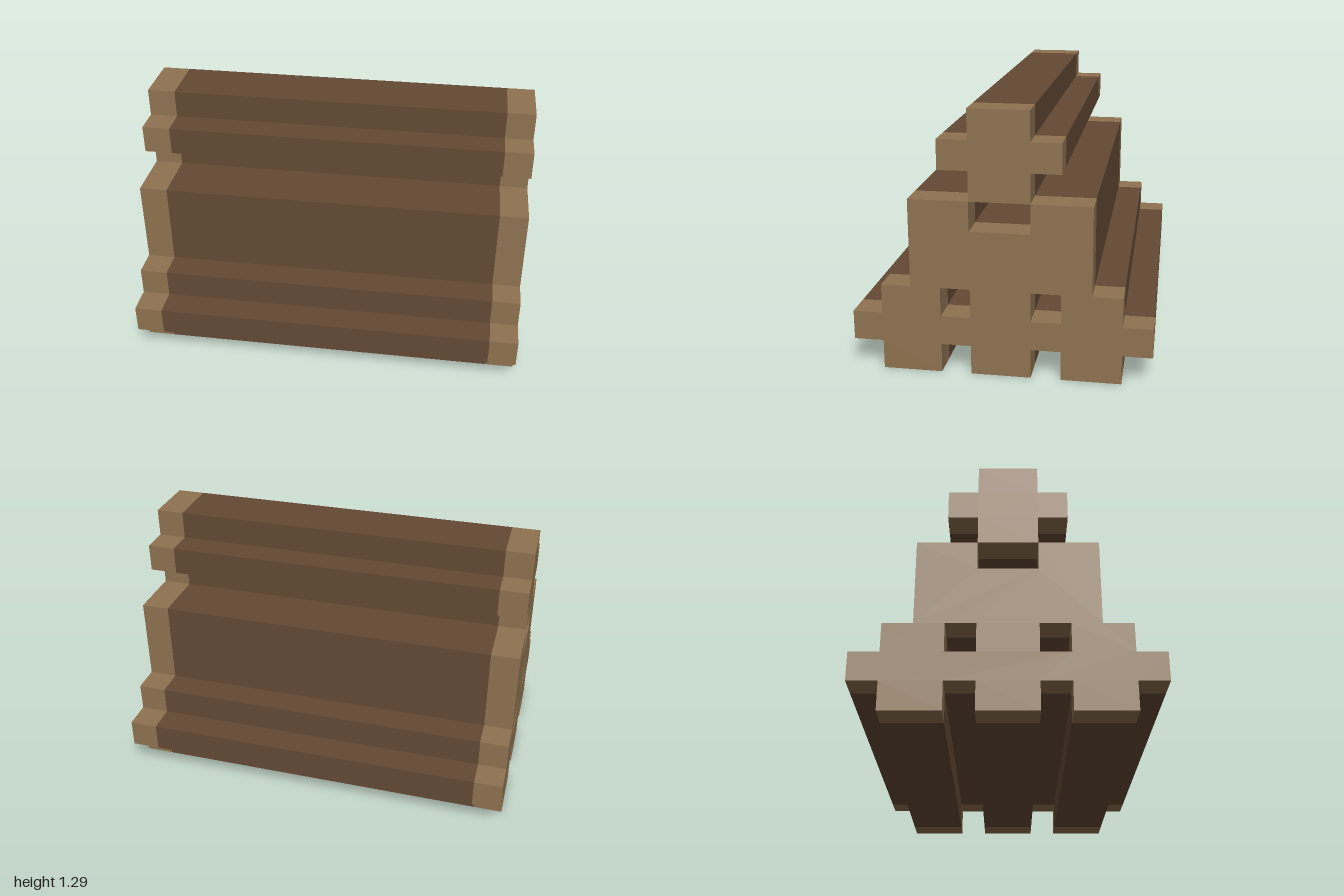
import * as THREE from 'three';

const U = 1 / 7;          // one block unit
const BAND = U;           // length of the pale cut end
const bark = new THREE.MeshStandardMaterial({ color: 0x644a35 });
bark.name = 'darkBark';
const wood = new THREE.MeshStandardMaterial({ color: 0x8f7350 });
wood.name = 'paleWood';

// Closed symmetric cross-section from its right half
const mirrored = half => [
  ...half,
  ...half.map(([z, y]) => [-z, y]).reverse(),
].map(([z, y]) => new THREE.Vector2(z * U, y * U));

const square = (z, y) => new THREE.Path(
  [[z, y], [z, y + 1], [z + 1, y + 1], [z + 1, y]].map(p => new THREE.Vector2(p[0] * U, p[1] * U)));

// Extrusion along +x from x0; keeps only the side walls, or walls plus outer cap
function prism(shape, x0, length, capped) {
  const full = new THREE.ExtrudeGeometry(shape, { depth: length, bevelEnabled: false });
  const capEnd = full.groups[0].count;
  const first = capped ? capEnd / 2 : capEnd;
  const geo = new THREE.BufferGeometry();
  for (const name of ['position', 'normal']) {
    geo.setAttribute(name, new THREE.BufferAttribute(full.attributes[name].array.slice(first * 3), 3));
  }
  return geo.rotateY(Math.PI / 2).translate(x0, 0, 0);
}

// Bark-covered middle with a pale cut end on each side
function logs(name, shape) {
  const group = new THREE.Group();
  group.name = name;
  const inner = 1 - BAND;
  const middle = new THREE.Mesh(prism(shape, -inner, 2 * inner, false), bark);
  middle.name = 'bark';
  group.add(middle);
  const endGeo = prism(shape, inner, BAND, true);
  for (const [side, turn] of [['leftCutEnd', 0], ['rightCutEnd', Math.PI]]) {
    const end = new THREE.Mesh(endGeo, wood);
    end.name = side;
    end.rotation.y = turn;
    group.add(end);
  }
  return group;
}

export function createModel() {
  const model = new THREE.Group();
  model.name = 'logPile';

  // Bottom and middle rows, merged, with two gaps running through
  const lower = new THREE.Shape(mirrored([
    [1, 0], [1, 1], [2, 1], [2, 0], [4, 0], [4, 1], [5, 1], [5, 2],
    [4, 2], [4, 3], [3, 3], [3, 6], [1, 6], [1, 5],
  ]));
  lower.holes.push(square(1, 2), square(-2, 2));

  // Single log on top
  const upper = new THREE.Shape(mirrored([[1, 6], [1, 7], [2, 7], [2, 8], [1, 8], [1, 9]]));

  model.add(logs('lowerLogs', lower), logs('topLog', upper));
  return model;
}
